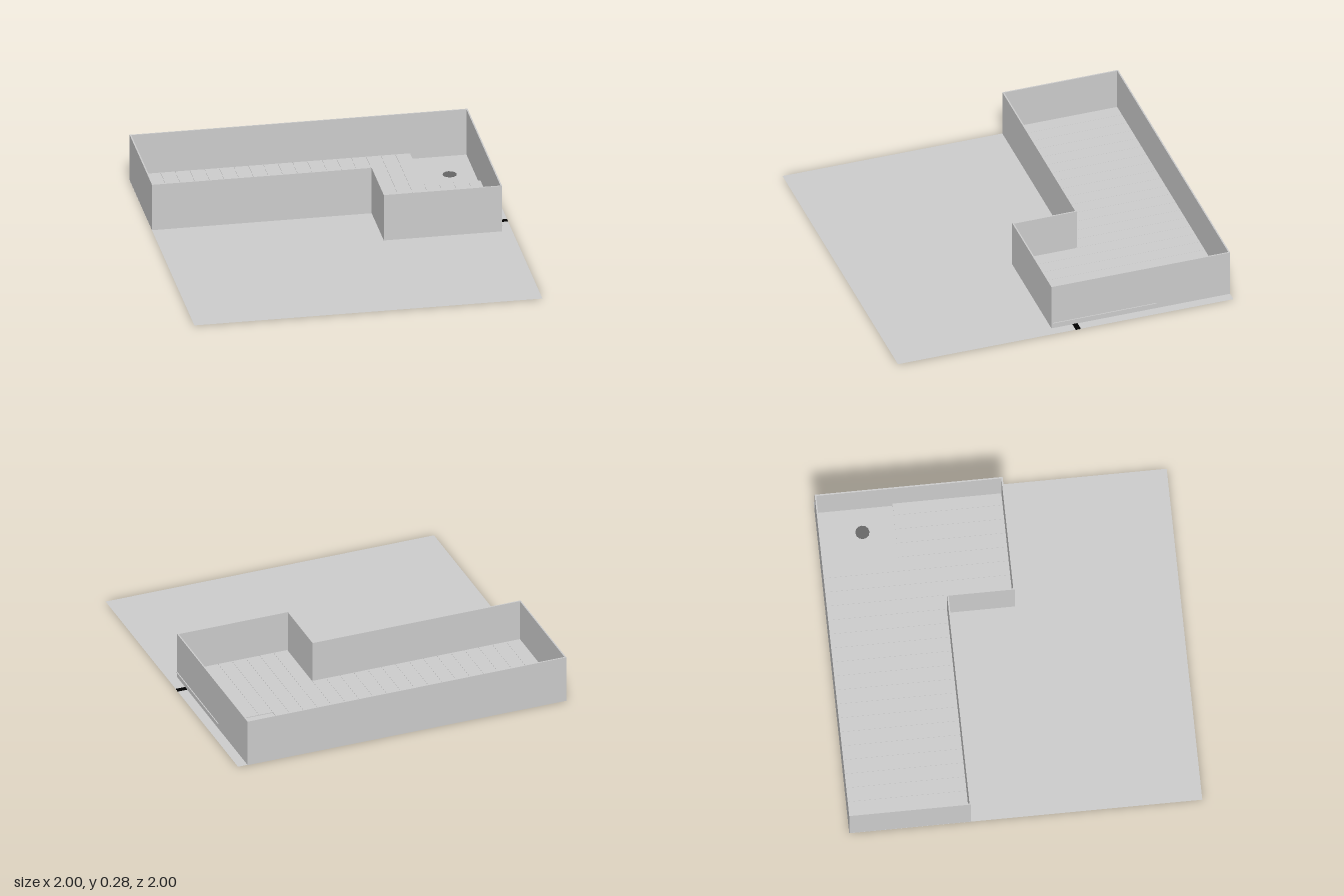
import * as THREE from 'three';

export function createModel() {
  const model = new THREE.Group();
  const paint = (name, color, side = THREE.FrontSide) => {
    const m = new THREE.MeshStandardMaterial({ color, side });
    m.name = name;
    return m;
  };
  const lightGrey = paint('light grey', 0xcccccc, THREE.DoubleSide);
  const darkGrey = paint('dark grey', 0x666666);
  const black = paint('black', 0x000000);

  const add = (name, geometry, material, x = 0, y = 0, z = 0) => {
    const mesh = new THREE.Mesh(geometry, material);
    mesh.name = name;
    mesh.position.set(x, y, z);
    model.add(mesh);
    return mesh;
  };
  const box = (name, material, x0, x1, y0, y1, z0, z1) =>
    add(name, new THREE.BoxGeometry(x1 - x0, y1 - y0, z1 - z0), material,
      (x0 + x1) / 2, (y0 + y1) / 2, (z0 + z1) / 2);

  // Paper-thin square ground sheet
  add('ground', new THREE.PlaneGeometry(1.995, 2).rotateX(-Math.PI / 2), lightGrey, 0, 0.002, 0);

  // L-shaped parapet: outline inset by t gives the inner face
  const outline = (t) => [
    [-0.997 + t, -1 + t], [0.94 - t, -1 + t], [0.94 - t, 0.065 - t],
    [0.262 + t, 0.065 - t], [0.262 + t, -0.31 - t], [-0.997 + t, -0.31 - t],
  ].map(([x, z]) => new THREE.Vector2(x, -z));
  const wallShape = new THREE.Shape(outline(0));
  wallShape.holes.push(new THREE.Path(outline(0.008)));
  add('parapetWall', new THREE.ExtrudeGeometry(wallShape, { depth: 0.283, bevelEnabled: false })
    .rotateX(-Math.PI / 2), lightGrey);

  // Deck boards: short on the left, full on the right, cut out at the back corner
  const pitch = 0.0842, gap = 0.001;
  for (let i = 0; i < 23; i++) {
    const x = -0.99 + i * pitch;
    const back = i < 19 ? -0.995 : -0.56;
    const front = i < 15 ? -0.313 : 0.062;
    box('deckBoard', lightGrey, x, x + pitch - gap, 0.033, 0.037, back, front);
  }

  // Flat round drains
  const drain = (material, x, z, r) =>
    add('drain', new THREE.CylinderGeometry(r, r, 0.004, 12), material, x, 0.002, z);
  drain(darkGrey, 0.79, -0.745, 0.04);
  drain(black, 0.4, -0.93, 0.045);
  drain(black, 0.87, -0.26, 0.02);
  drain(black, 0.02, -0.876, 0.02);

  // Outlet channels running to the edges
  box('outletChannel', black, 0.84, 0.997, 0, 0.004, -0.09, -0.06);
  box('outletChannel', black, -0.485, -0.455, 0, 0.004, -0.99, -0.85);

  return model;
}
